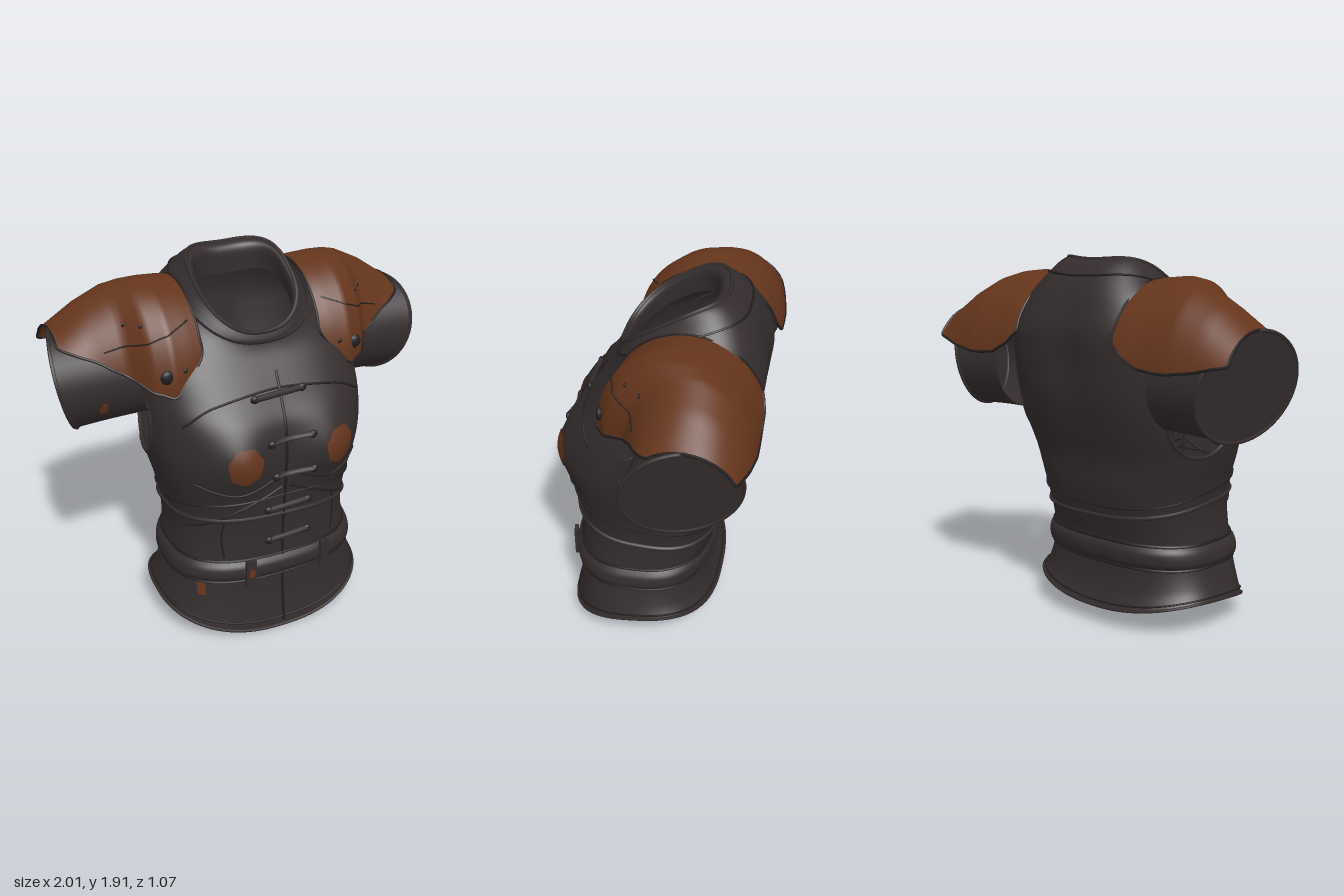
import * as THREE from 'three';
import { mergeVertices } from 'three/addons/utils/BufferGeometryUtils.js';

const mat = (name, color) => {
  const m = new THREE.MeshStandardMaterial({ color, side: THREE.DoubleSide });
  m.name = name;
  return m;
};

// Smooth surface from a rule (u, v in 0..1); keep() may drop triangles
function grid(nu, nv, rule, keep = () => true) {
  const pos = [], index = [], pts = [];
  for (let j = 0; j <= nv; j++) for (let i = 0; i <= nu; i++) {
    const p = rule(i / nu, j / nv);
    pts.push(p);
    pos.push(p.x, p.y, p.z);
  }
  const tri = (a, b, c) => { if (keep(pts[a], pts[b], pts[c])) index.push(a, b, c); };
  for (let j = 0; j < nv; j++) for (let i = 0; i < nu; i++) {
    const a = j * (nu + 1) + i, b = a + 1, c = a + nu + 1, d = c + 1;
    tri(a, b, d);
    tri(a, d, c);
  }
  let g = new THREE.BufferGeometry();
  g.setAttribute('position', new THREE.Float32BufferAttribute(pos, 3));
  g.setIndex(index);
  g = mergeVertices(g, 1e-4);
  g.computeVertexNormals();
  return g;
}

// Torso rings: front y, front z, back y, back z, half width, side y
const RINGS = [
  [0.00, 0.49, 0.10, -0.31, 0.57, 0.16], [0.18, 0.465, 0.20, -0.27, 0.54, 0.24],
  [0.33, 0.455, 0.34, -0.255, 0.51, 0.34], [0.45, 0.45, 0.47, -0.27, 0.49, 0.46],
  [0.60, 0.45, 0.60, -0.31, 0.48, 0.60], [0.75, 0.46, 0.75, -0.35, 0.50, 0.75],
  [0.90, 0.47, 0.90, -0.375, 0.54, 0.90], [1.05, 0.47, 1.06, -0.43, 0.575, 1.06],
  [1.20, 0.45, 1.22, -0.48, 0.58, 1.22], [1.30, 0.39, 1.40, -0.51, 0.57, 1.38],
  [1.40, 0.32, 1.55, -0.52, 0.54, 1.52], [1.48, 0.26, 1.68, -0.48, 0.45, 1.64],
  [1.53, 0.235, 1.78, -0.43, 0.36, 1.72], [1.56, 0.23, 1.86, -0.36, 0.285, 1.79],
  [1.59, 0.215, 1.89, -0.30, 0.255, 1.81], [1.56, 0.195, 1.86, -0.25, 0.235, 1.78],
  [1.48, 0.20, 1.74, -0.25, 0.24, 1.68],
];
const LAST = RINGS.length - 1;
const spline = (a, b, c) => new THREE.CatmullRomCurve3(
  RINGS.map(r => new THREE.Vector3(r[a], r[b], r[c])), false, 'catmullrom', 0.5);
const fore = spline(0, 1, 4), aft = spline(2, 3, 5);
const soft = v => Math.sign(v) * Math.abs(v) ** 0.76;

// Point on the torso at ring number k and angle a (0 = front)
function skin(k, a, off = 0) {
  const f = fore.getPoint(k / LAST), b = aft.getPoint(k / LAST);
  const S = soft(Math.sin(a)), C = soft(Math.cos(a)), mid = (f.x + b.x) / 2;
  const p = new THREE.Vector3((f.z + off) * S,
    mid + (f.x - b.x) / 2 * C + (b.z - mid) * Math.abs(Math.sin(a)) ** 1.6,
    (f.y + b.y) / 2 + ((f.y - b.y) / 2 + off) * C);
  // bust in front, shallow spine groove behind
  if (p.z > 0) p.z += 0.075 * Math.exp(-(((Math.abs(p.x) - 0.26) ** 2) + (p.y - 1.04) ** 2) / 0.03);
  else p.z += 0.03 * Math.exp(-p.x * p.x / 0.015 - (p.y - 1.45) ** 2 / 0.06);
  return p;
}

const HOLE = { z: -0.08, y: 1.14, rz: 0.21, ry: 0.2 };
const holeValue = p => Math.hypot((p.z - HOLE.z) / HOLE.rz, (p.y - HOLE.y) / HOLE.ry);

// Shoulder pad sections: x, centre z, radius z, centre y, radius y, front edge y, back edge y
const PAD = [
  [0.32, -0.155, 0.375, 1.40, 0.40, 1.53, 1.53], [0.38, -0.15, 0.385, 1.38, 0.43, 1.42, 1.47],
  [0.48, -0.14, 0.39, 1.36, 0.46, 1.345, 1.42], [0.57, -0.165, 0.365, 1.36, 0.45, 1.37, 1.41],
  [0.65, -0.22, 0.31, 1.35, 0.43, 1.42, 1.41], [0.79, -0.235, 0.283, 1.34, 0.37, 1.50, 1.43],
  [0.945, -0.235, 0.268, 1.34, 0.265, 1.56, 1.47],
];
function padPoint(u, v, side) {
  const k = u * (PAD.length - 1), i = Math.min(Math.floor(k), PAD.length - 2);
  const [x, zc, rz, yc, ry, yf, yb] = PAD[i].map((q, n) => THREE.MathUtils.lerp(q, PAD[i + 1][n], k - i));
  const a0 = Math.acos((yf - yc) / ry), a1 = -Math.acos((yb - yc) / ry);
  const a = a0 + (a1 - a0) * v;
  return new THREE.Vector3(side * x, yc + ry * Math.cos(a), zc + rz * Math.sin(a));
}

export function createModel() {
  const group = new THREE.Group();
  const cloth = mat('dark cloth', 0x342c2d);
  const leather = mat('brown leather', 0x65351c);
  const trim = mat('black trim', 0x231e1f);
  const add = (name, geo, m) => {
    const mesh = new THREE.Mesh(geo, m);
    mesh.name = name;
    group.add(mesh);
    return mesh;
  };
  const ray = new THREE.Raycaster();
  const project = (mesh, from, dir, lift) => {
    ray.set(from, dir);
    const hit = ray.intersectObject(mesh)[0];
    return hit ? hit.point.addScaledVector(dir, -lift) : null;
  };
  const BACKWARD = new THREE.Vector3(0, 0, -1);
  const onFront = (mesh, x, y, lift = 0.004) => project(mesh, new THREE.Vector3(x, y, 3), BACKWARD, lift);
  const cord = (name, pts, r, m, closed = false) => add(name,
    new THREE.TubeGeometry(new THREE.CatmullRomCurve3(pts, closed), pts.length * 4, r, 6, closed), m);
  // Seam laid on the front of a mesh along a line of x, y points
  const seam = (name, mesh, xy, r = 0.006) => {
    const path = new THREE.SplineCurve(xy.map(p => new THREE.Vector2(...p)));
    const pts = path.getPoints(14).map(p => onFront(mesh, p.x, p.y, 0.002)).filter(Boolean);
    cord(name, pts, r, trim);
  };
  // Thin round patch laid on the front of a mesh
  const patch = (name, mesh, x, y, rx, ry) => add(name, grid(42, 6, (u, v) => {
    const a = u * 2 * Math.PI, r = v * (1 + 0.04 * Math.sin(7 * a));
    return onFront(mesh, x + r * rx * Math.cos(a), y + r * ry * Math.sin(a), 0.007);
  }), leather);

  // Torso shell with neck opening and two armholes
  const torso = add('torso', grid(112, 128, (u, v) => {
    const p = skin(v * LAST, (u - 0.5) * 2 * Math.PI);
    const h = holeValue(p);
    if (Math.abs(p.x) > 0.3 && h < 1) {
      const s = 1 / Math.max(h, 0.02);
      p.cut = true;
      p.y = HOLE.y + (p.y - HOLE.y) * s;
      p.z = HOLE.z + (p.z - HOLE.z) * s;
    }
    return p;
  }, (a, b, c) => !(a.cut && b.cut && c.cut)), cloth);

  // Belt, its edges and the wrapped sash folds
  const belt = add('belt', grid(80, 6, (u, v) =>
    skin(1.95 + v, (u - 0.5) * 2 * Math.PI, 0.028 * Math.max(0, Math.sin(Math.PI * v)) ** 0.4)), cloth);
  const wrap = (name, level, r, m) => cord(name, Array.from({ length: 60 }, (_, i) => {
    const a = i / 60 * 2 * Math.PI;
    return skin(level(a), a, 0.003);
  }), r, m, true);
  wrap('beltLowerEdge', () => 1.95, 0.008, trim);
  wrap('beltUpperEdge', () => 2.97, 0.009, trim);
  wrap('hemStitch', () => 0.28, 0.005, trim);
  wrap('hemEdge', () => 0.02, 0.008, cloth);
  wrap('sashFold', a => 4.3 + 0.35 * Math.cos(a + 0.5), 0.011, cloth);
  wrap('sashFoldHigh', a => 4.9 + 0.5 * Math.cos(a), 0.006, trim);
  wrap('collarSeam', () => 12.4, 0.006, trim);
  wrap('collarRim', () => 14, 0.011, cloth);
  for (const x of [-0.19, 0.24]) {
    const loop = add('beltLoop', new THREE.BoxGeometry(0.055, 0.16, 0.02), cloth);
    loop.position.copy(onFront(belt, x, 0.38, 0.006));
    loop.rotation.y = x * 0.7;
    loop.updateMatrixWorld();
    if (x < 0) patch('beltLoopTab', loop, x, 0.39, 0.016, 0.028);
  }

  // Front seams
  seam('centreSeam', torso, [[0, 0.03], [0, 0.4], [0, 0.8], [0, 1.15], [0.02, 1.42]], 0.008);
  seam('chestSeam', torso, [[-0.48, 1.22], [-0.33, 1.31], [0, 1.35], [0.33, 1.31], [0.5, 1.22]]);
  for (const s of [-1, 1]) {
    seam('waistSeam', torso, [[s * 0.45, 0.63], [s * 0.25, 0.75], [s * 0.02, 0.86]]);
    seam('sideSeam', torso, [[s * 0.31, 0.47], [s * 0.32, 0.6], [s * 0.3, 0.72]], 0.005);
    seam('bustSeam', torso, [[s * 0.05, 0.93], [s * 0.25, 0.86], [s * 0.45, 0.92]], 0.005);
  }

  // Toggle fasteners down the front
  for (const [x, y, w] of [[0, 1.33, 0.13], [0.02, 1.13, 0.11], [0.04, 0.94, 0.1], [0.02, 0.74, 0.11], [0.03, 0.55, 0.11]]) {
    const pts = [-1, -0.5, 0, 0.5, 1].map(t => onFront(torso, x + t * w, y + 0.006 * t, 0.01));
    cord('toggleStrap', pts, 0.016, cloth);
    for (const e of [0, 4]) {
      const knob = add('toggleKnob', new THREE.SphereGeometry(0.024, 10, 8), trim);
      knob.position.copy(pts[e]);
      knob.scale.set(1, 0.9, 0.6);
    }
  }

  // Leather patches on the chest and a tab below the belt
  patch('chestPatch', torso, -0.235, 1.04, 0.088, 0.098);
  patch('chestPatch', torso, 0.285, 1.045, 0.086, 0.098);
  add('hipTab', grid(3, 6, (u, v) => onFront(torso, -0.44 + 0.035 * u, 0.25 + 0.1 * v, 0.006)), leather);

  for (const s of [-1, 1]) {
    // Sleeve whose closed end slants down and back
    const endX = (y, z) => 0.89 + 0.22 * (y - 1.34) + 0.35 * (z + 0.23);
    const sleevePoint = (u, v) => {
      const a = u * 2 * Math.PI, r = 0.25 + 0.012 * v * v;
      const y = 1.34 + r * Math.cos(a), z = -0.23 + r * Math.sin(a);
      return new THREE.Vector3(s * (0.5 + (endX(y, z) - 0.5) * v), y, z);
    };
    const sleeve = add('sleeve', grid(40, 10, sleevePoint), cloth);
    add('sleeveEnd', grid(40, 1, (u, v) =>
      v ? sleevePoint(u, 1) : new THREE.Vector3(s * endX(1.34, -0.23), 1.34, -0.23)), cloth);
    cord('cuff', Array.from({ length: 32 }, (_, i) => sleevePoint(i / 32, 0.99)), 0.01, cloth, true);
    if (s < 0) patch('sleevePatch', sleeve, -0.765, 1.24, 0.022, 0.036);

    // Armhole binding
    const inward = new THREE.Vector3(-s, 0, 0);
    const rim = Array.from({ length: 30 }, (_, i) => {
      const a = Math.PI * (0.85 + 1.3 * i / 29);
      return project(torso, new THREE.Vector3(s * 3, HOLE.y + HOLE.ry * 1.03 * Math.sin(a), HOLE.z + HOLE.rz * 1.03 * Math.cos(a)), inward, 0);
    }).filter(p => p && p.x * s > 0.3);
    cord('armholeBinding', rim, 0.011, cloth);

    // Shoulder pad with piped edge, seam and studs
    const pad = add('shoulderPad', grid(30, 32, (u, v) => padPoint(u, v, s)), leather);
    const edge = [];
    for (let i = 0; i < 12; i++) edge.push(padPoint(i / 12, 0, s));
    for (let i = 0; i < 12; i++) edge.push(padPoint(1, i / 12, s));
    for (let i = 0; i < 12; i++) edge.push(padPoint(1 - i / 12, 1, s));
    for (let i = 0; i < 12; i++) edge.push(padPoint(0, 1 - i / 12, s));
    cord('padPiping', edge, 0.007, trim, true);
    seam('padSeam', pad, [[s * 0.36, 1.68], [s * 0.5, 1.63], [s * 0.62, 1.58], [s * 0.75, 1.54]], 0.004);
    for (const [x, y, r] of [[0.51, 1.45, 0.036], [0.58, 1.67, 0.012], [0.64, 1.66, 0.012], [0.42, 1.47, 0.012]]) {
      const stud = add('padStud', new THREE.SphereGeometry(r, 12, 8), trim);
      stud.position.copy(onFront(pad, s * x, y, 0));
      stud.scale.z = 0.5;
    }
  }
  return group;
}
